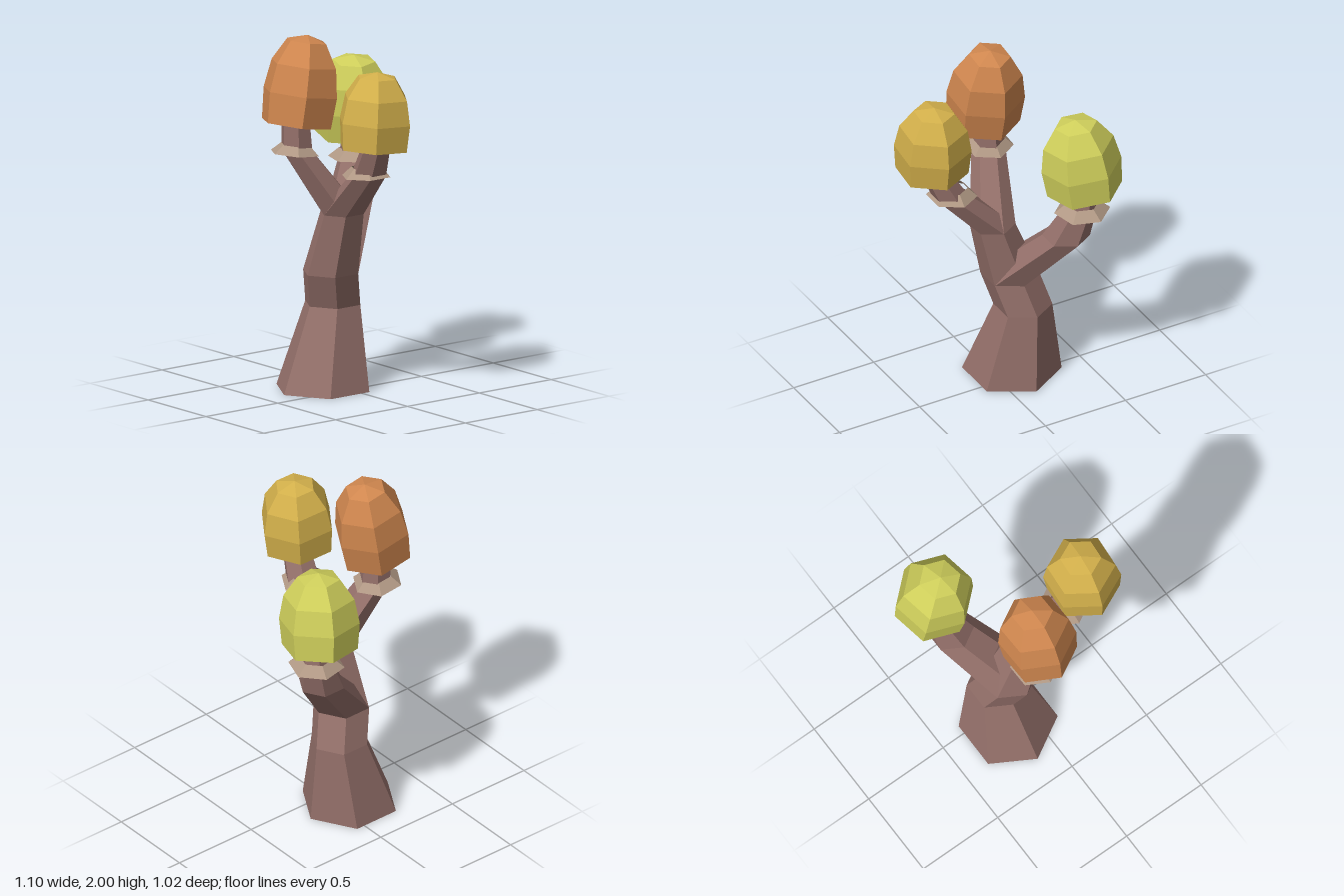
import * as THREE from 'three';

const SIDES = 6;
const mat = (name, color) => {
  const m = new THREE.MeshStandardMaterial({ color, side: THREE.DoubleSide });
  m.name = name;
  return m;
};

// Skin a row of level hexagonal rings [x, y, z, radius]; facets stay flat.
function loft(rings, { closeBottom = false, closeTop = false } = {}) {
  const point = ([x, y, z, r], i) => {
    const a = (i / SIDES) * Math.PI * 2;
    return [x + r * Math.sin(a), y, z + r * Math.cos(a)];
  };
  const pos = [];
  for (let i = 0; i < SIDES; i++) {
    for (let k = 0; k < rings.length - 1; k++) {
      const a = point(rings[k], i), b = point(rings[k], i + 1);
      const c = point(rings[k + 1], i + 1), d = point(rings[k + 1], i);
      pos.push(...a, ...b, ...c);
      if (rings[k + 1][3] > 0) pos.push(...a, ...c, ...d);
    }
    const first = rings[0], last = rings[rings.length - 1];
    if (closeBottom) pos.push(...first.slice(0, 3), ...point(first, i + 1), ...point(first, i));
    if (closeTop) pos.push(...last.slice(0, 3), ...point(last, i), ...point(last, i + 1));
  }
  const g = new THREE.BufferGeometry();
  g.setAttribute('position', new THREE.Float32BufferAttribute(pos, 3));
  g.computeVertexNormals();
  return g;
}

export function createModel() {
  const model = new THREE.Group();
  const bark = mat('bark brown', 0x94706a);
  const ringMat = mat('collar beige', 0xb09884);

  const add = (name, geometry, material, parent = model) => {
    const mesh = new THREE.Mesh(geometry, material);
    mesh.name = name;
    parent.add(mesh);
    return mesh;
  };

  // Trunk with a flared foot; branches start from its upper rings
  const lowFork = [-0.095, 0.65, 0.055, 0.16];
  const highFork = [0.01, 1.0, 0.06, 0.125];
  add('trunk', loft([
    [-0.125, 0, 0.085, 0.27], [-0.145, 0.46, 0, 0.16], lowFork, highFork,
  ], { closeBottom: true }), bark);

  // Each branch carries a flared collar and a tilted, hollow cap
  const branches = [
    {
      name: 'back', color: mat('cap green', 0xcfcf5b),
      path: [lowFork, [-0.28, 1.0, -0.235, 0.13], [-0.335, 1.22, -0.31, 0.088], [-0.335, 1.45, -0.31, 0.07]],
      collar: [-0.335, 1.19, -0.315, 0.155], collarTilt: [0, 0.2, 0],
      cap: [-0.355, 1.32, -0.308], tilt: [0.08, 0.2, -0.1], radius: 0.222, height: 0.45,
    },
    {
      name: 'front', color: mat('cap orange', 0xd0874f),
      path: [highFork, [-0.095, 1.36, 0.29, 0.09], [-0.1, 1.65, 0.3, 0.075]],
      collar: [-0.1, 1.345, 0.3, 0.14], collarTilt: [-0.1, 0, 0],
      cap: [-0.075, 1.515, 0.31], tilt: [-0.16, 0, 0], radius: 0.214, height: 0.49,
    },
    {
      name: 'left', color: mat('cap yellow', 0xd3b04b),
      path: [highFork, [0.265, 1.26, 0.08, 0.1], [0.36, 1.45, 0.1, 0.08], [0.36, 1.55, 0.1, 0.07]],
      collar: [0.25, 1.25, 0.085, 0.14], collarTilt: [0, 0, 0.04],
      cap: [0.355, 1.43, 0.118], tilt: [-0.06, -0.09, 0], radius: 0.212, height: 0.42,
    },
  ];

  // Cap profile as [height, radius] fractions
  const capProfile = [[0, 0.94], [0.35, 1], [0.67, 0.88], [0.93, 0.53], [1, 0]];

  for (const b of branches) {
    const group = new THREE.Group();
    group.name = b.name + 'Branch';
    model.add(group);

    add(b.name + 'Stem', loft(b.path, { closeTop: true }), bark, group);

    const [x, y, z, r] = b.collar;
    const collar = add(b.name + 'Collar', loft([[0, 0, 0, r], [0, 0.05, 0, r * 0.6]]), ringMat, group);
    collar.position.set(x, y, z);
    collar.rotation.set(...b.collarTilt);

    const cap = add(b.name + 'Cap',
      loft(capProfile.map(([h, w]) => [0, h * b.height, 0, w * b.radius])), b.color, group);
    cap.position.set(...b.cap);
    cap.rotation.set(...b.tilt);
  }

  return model;
}
